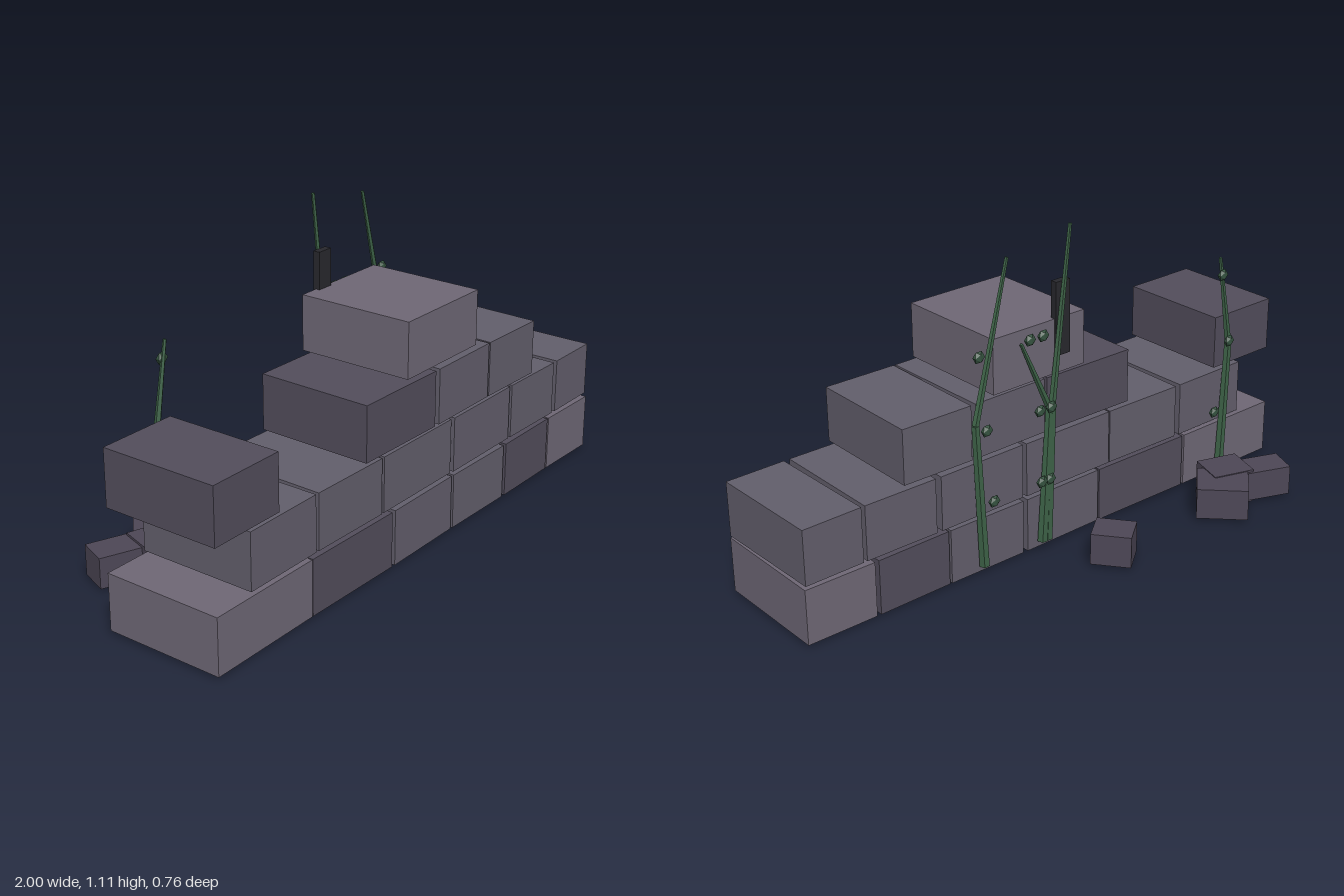
import * as THREE from 'three';

const mat = (color) => new THREE.MeshStandardMaterial({ color, flatShading: true });
const STONE = { d: mat(0x524d5b), m: mat(0x625e6b), l: mat(0x6e6775) };
const RUBBLE = mat(0x4d4756);
const IRON = mat(0x28282d);
const STEM = mat(0x3d6247);
const LEAF = mat(0x35523f);

function addBox(parent, name, size, pos, yaw, material) {
  const mesh = new THREE.Mesh(new THREE.BoxGeometry(...size), material);
  mesh.name = name;
  mesh.position.set(...pos);
  mesh.rotation.y = yaw;
  parent.add(mesh);
}

// Tapered five-sided stick between two points
function addStick(parent, a, b, r0, r1) {
  const dir = b.clone().sub(a);
  const mesh = new THREE.Mesh(new THREE.CylinderGeometry(r1, r0, dir.length(), 5), STEM);
  mesh.name = 'vineStem';
  mesh.position.copy(a).add(b).multiplyScalar(0.5);
  mesh.quaternion.setFromUnitVectors(new THREE.Vector3(0, 1, 0), dir.normalize());
  parent.add(mesh);
}

export function createModel() {
  const model = new THREE.Group();
  model.name = 'ruinedWall';

  // Courses of stone: [left, right, tone, yaw, back z, front z]
  const courses = [
    [[-1, -0.575, 'l', 0.008], [-0.572, -0.178, 'd', -0.008], [-0.172, 0.147, 'm', 0.012],
      [0.157, 0.455, 'm', -0.005], [0.463, 0.738, 'd', 0.01], [0.745, 1, 'l', -0.008]],
    [[-0.85, -0.548, 'm', 0.012], [-0.536, -0.226, 'm', -0.01], [-0.221, 0.144, 'm', 0.006],
      [0.155, 0.491, 'm', 0.01], [0.504, 0.772, 'm', -0.008], [0.785, 1, 'm', 0.01]],
    [[-1, -0.72, 'd', 0.01], [-0.311, 0.046, 'd', -0.01], [0.058, 0.347, 'm', 0.012], [0.354, 0.62, 'm', -0.012]],
    [[-0.1, 0.28, 'l', 0.006]],
  ];
  const depths = [[-0.043, 0.378], [-0.04, 0.372], [-0.034, 0.376], [-0.044, 0.368]];
  const wall = new THREE.Group();
  wall.name = 'wallBlocks';
  courses.forEach((course, row) => {
    const [back, front] = depths[row];
    const y0 = 0.01 + row * 0.201;
    const y1 = 0.2 * (row + 1);
    course.forEach(([x0, x1, tone, yaw]) => {
      const d = front - back - 0.003;
      const w = x1 - x0 - d * Math.abs(yaw); // keep the turned block inside its span
      addBox(wall, 'block', [w, y1 - y0, d], [(x0 + x1) / 2, (y0 + y1) / 2, (front + back) / 2], yaw, STONE[tone]);
    });
  });
  model.add(wall);

  // Dark upright slab fixed to the back of the top block
  addBox(model, 'darkSlab', [0.058, 0.25, 0.024], [-0.003, 0.8, -0.039], 0, IRON);

  // Fallen stones behind the wall: [x, z, width, height, depth, base y, yaw]
  const rubble = new THREE.Group();
  rubble.name = 'rubble';
  [
    [-0.75, -0.26, 0.16, 0.105, 0.11, 0.01, -0.37],
    [-0.55, -0.26, 0.175, 0.11, 0.16, 0.01, -0.8],
    [-0.63, -0.195, 0.15, 0.123, 0.135, 0, -0.31],
    [-0.04, -0.26, 0.134, 0.11, 0.115, 0.01, -0.92],
  ].forEach(([x, z, w, h, d, y, yaw]) => addBox(rubble, 'fallenStone', [w, h, d], [x, y + h / 2, z], yaw, RUBBLE));
  model.add(rubble);

  // Vines on the back face: base, bend and tip, plus leaf x at three heights
  const vines = [
    { path: [[-0.745, 0.035], [-0.765, 0.51], [-0.71, 0.83]], leaves: [-0.7, -0.76, -0.715] },
    { path: [[0.068, 0.035], [0.048, 0.52], [-0.025, 1.11]], leaves: [0.065, 0.06, 0.094] },
    { path: [[0.09, 0.035], [0.06, 0.51], [0.175, 0.76]], leaves: [0.1, 0.107, 0.148] },
    { path: [[0.335, 0.035], [0.362, 0.54], [0.23, 1.06]], leaves: [0.3, 0.325, 0.352] },
  ];
  const leafGeo = new THREE.IcosahedronGeometry(0.022, 0).scale(1, 1, 0.6);
  vines.forEach(({ path, leaves }) => {
    const vine = new THREE.Group();
    vine.name = 'vine';
    const [base, bend, tip] = path.map(([x, y], i) => new THREE.Vector3(x, y, i === 0 ? -0.056 : -0.057));
    addStick(vine, base, bend, 0.017, 0.013);
    addStick(vine, bend, tip, 0.012, 0.006);
    leaves.forEach((x, i) => {
      const leaf = new THREE.Mesh(leafGeo, LEAF);
      leaf.name = 'leaf';
      leaf.position.set(x, 0.26 + i * 0.255, -0.067);
      vine.add(leaf);
    });
    model.add(vine);
  });

  return model;
}
